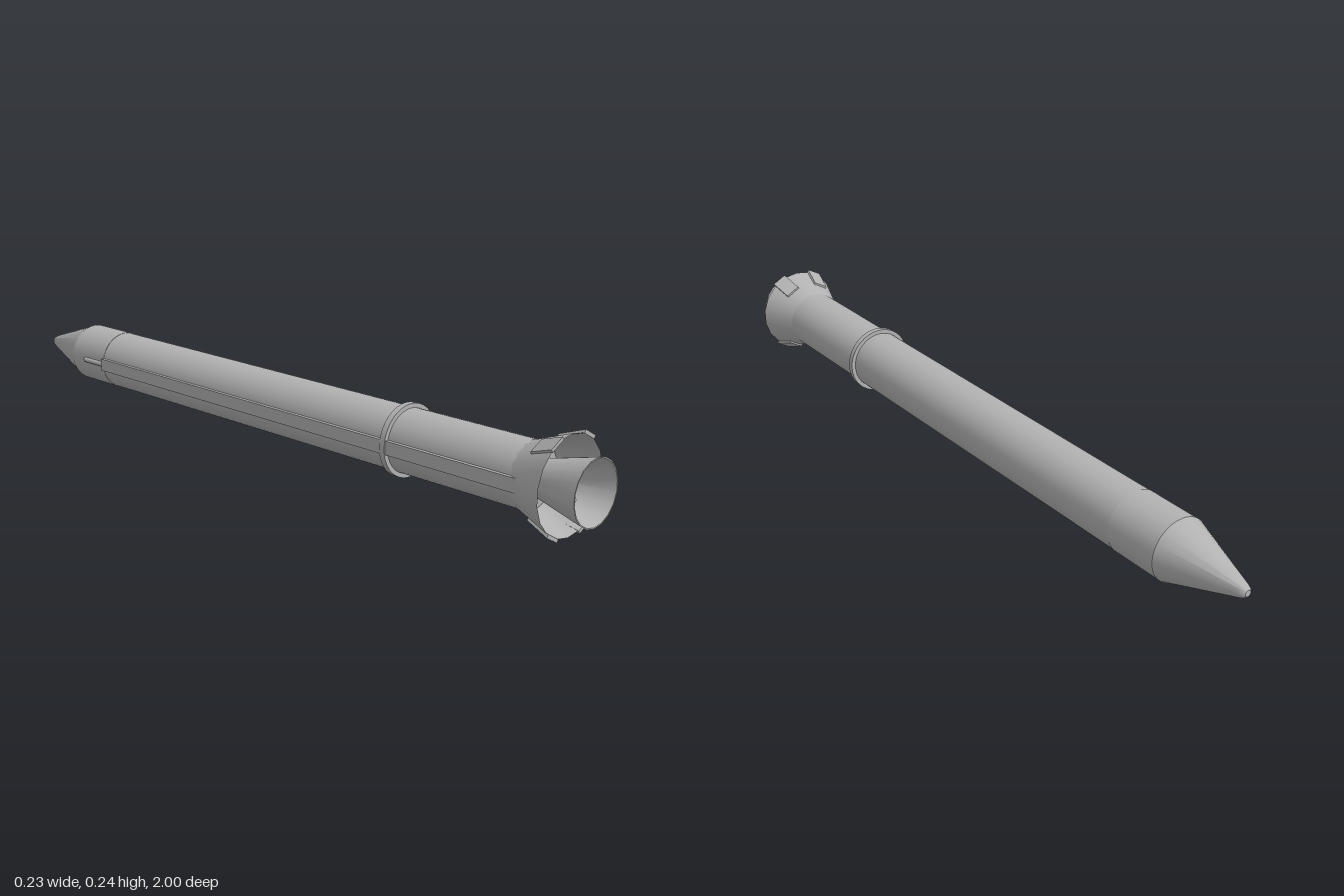
import * as THREE from 'three';
import { toCreasedNormals } from 'three/addons/utils/BufferGeometryUtils.js';

export function createModel() {
  const model = new THREE.Group();
  model.name = 'rocketBooster';
  const rocket = new THREE.Group();
  rocket.name = 'rocket';
  rocket.position.y = 0.12;
  model.add(rocket);

  const grey = new THREE.MeshStandardMaterial({ color: 0xb2b2b2 });
  grey.name = 'grey';
  const greyThin = new THREE.MeshStandardMaterial({ color: 0xb2b2b2, side: THREE.DoubleSide });
  greyThin.name = 'grey thin shell';

  const add = (name, geometry, material = grey) => {
    const mesh = new THREE.Mesh(geometry, material);
    mesh.name = name;
    rocket.add(mesh);
    return mesh;
  };

  // Turns a profile of [radius, z] pairs around the long axis
  const turn = (profile, sides) => {
    const points = profile.map(([r, z]) => new THREE.Vector2(r, z));
    const geometry = new THREE.LatheGeometry(points, sides).rotateX(Math.PI / 2);
    return toCreasedNormals(geometry, 0.5);
  };

  // Rounded nose cone
  add('noseCone', turn([
    [0, -1], [0.008, -0.998], [0.014, -0.992], [0.018, -0.982], [0.08, -0.79],
  ], 36));

  // Forward section and main casing
  add('forwardSection', turn([[0.08, -0.79], [0.081, -0.789], [0.081, -0.64], [0.08, -0.64]], 36));
  add('casing', turn([[0.08, -0.64], [0.08, 0.84], [0, 0.84]], 36));

  // Attachment ring
  add('attachRing', turn([[0.079, 0.461], [0.091, 0.461], [0.091, 0.477], [0.079, 0.477]], 36));

  // Flared open skirt
  add('skirt', turn([[0.08, 0.83], [0.118, 0.935]], 18), greyThin);

  // Nozzle with rim, inner cone and throat plate
  add('nozzle', turn([
    [0.046, 0.84], [0.047, 0.87], [0.08, 1], [0.077, 1], [0.044, 0.87], [0, 0.87],
  ], 18));

  // Igniter tube inside the nozzle
  const igniter = add('igniterTube', new THREE.CylinderGeometry(0.005, 0.005, 0.08, 12).rotateX(Math.PI / 2));
  igniter.position.set(-0.003, -0.028, 0.91);

  // Four wedge motors on the skirt
  const wedge = new THREE.Shape([
    new THREE.Vector2(0.094, 0.875),
    new THREE.Vector2(0.115, 0.937),
    new THREE.Vector2(0.124, 0.937),
    new THREE.Vector2(0.1, 0.875),
  ]);
  const wedgeGeometry = new THREE.ExtrudeGeometry(wedge, { depth: 0.043, bevelEnabled: false })
    .translate(0, 0, -0.0215).rotateX(Math.PI / 2);
  for (const degrees of [61, 119, 241, 299]) {
    add('separationMotor', wedgeGeometry).rotation.z = THREE.MathUtils.degToRad(degrees);
  }

  // Cable tunnel along one side, with a slim rounded fairing ahead of it
  const tunnel = add('cableTunnel', new THREE.BoxGeometry(0.014, 0.034, 1.5));
  tunnel.position.set(-0.081, 0, 0.11);
  const fairing = add('tunnelFairing', new THREE.CapsuleGeometry(0.007, 0.076, 6, 12).rotateX(Math.PI / 2));
  fairing.position.set(-0.083, 0, -0.685);

  return model;
}
